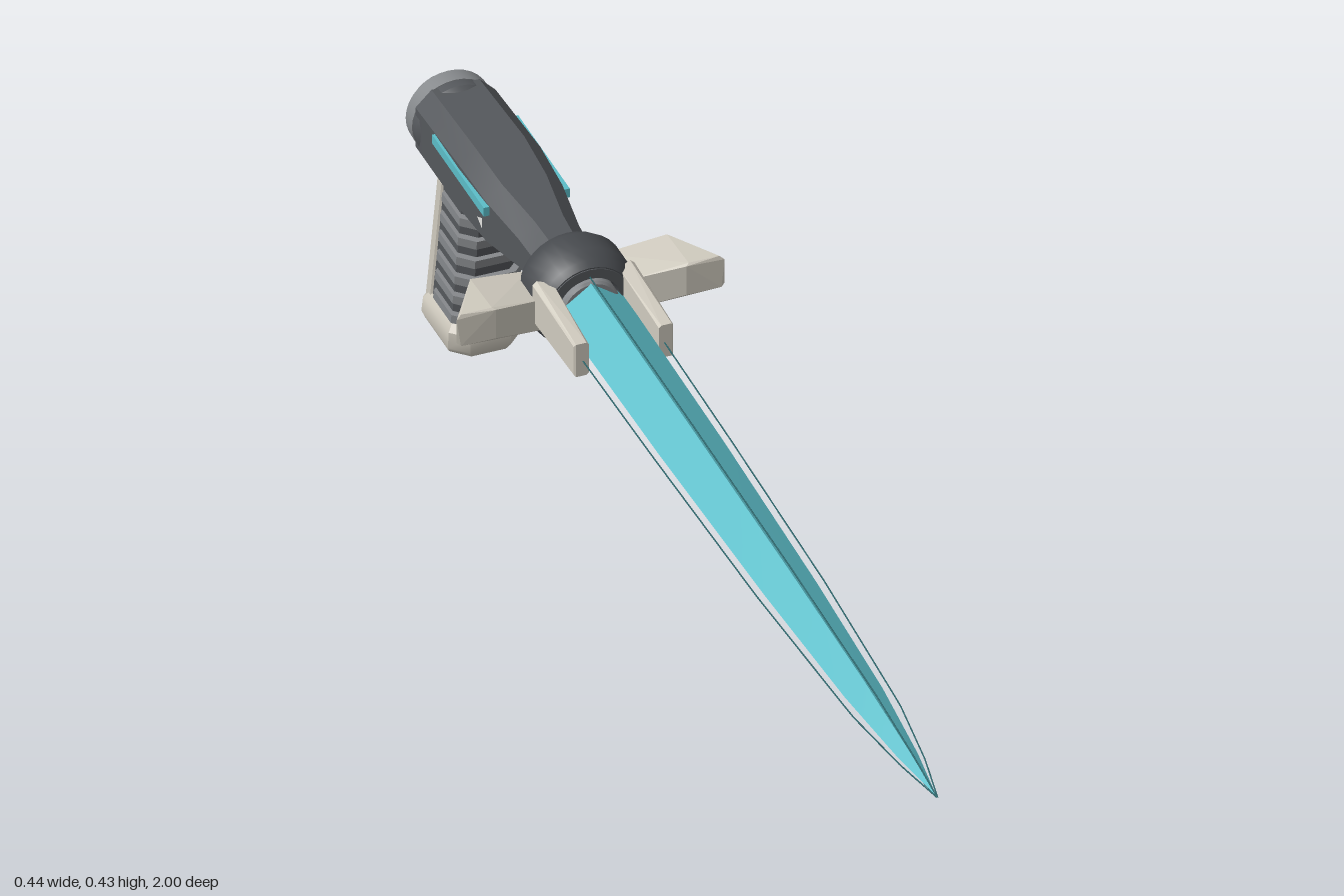
import * as THREE from 'three';
import { toCreasedNormals } from 'three/addons/utils/BufferGeometryUtils.js';
import { ConvexGeometry } from 'three/addons/geometries/ConvexGeometry.js';

const mat = (name, color, side = THREE.FrontSide) => new THREE.MeshStandardMaterial({ name, color, side });

// Joins outlines [{ z, pts: [[x, y], ...] }] (counter-clockwise, z rising) into a closed, creased solid.
function loft(sections, crease = 0.4) {
  const pos = [];
  const n = sections[0].pts.length;
  const put = (s, j) => pos.push(s.pts[j % n][0], s.pts[j % n][1], s.z);
  for (let i = 0; i < sections.length - 1; i++) {
    const a = sections[i], b = sections[i + 1];
    for (let j = 0; j < n; j++) {
      put(a, j); put(a, j + 1); put(b, j + 1);
      put(a, j); put(b, j + 1); put(b, j);
    }
  }
  const first = sections[0], last = sections[sections.length - 1];
  for (let j = 1; j < n - 1; j++) {
    put(first, 0); put(first, j + 1); put(first, j);
    put(last, 0); put(last, j); put(last, j + 1);
  }
  const g = new THREE.BufferGeometry();
  g.setAttribute('position', new THREE.Float32BufferAttribute(pos, 3));
  return toCreasedNormals(g, crease);
}

// Rectangle with chamfered corners
const octagon = (w, y0, y1, c) => [
  [w, y0 + c], [w, y1 - c], [w - c, y1], [c - w, y1],
  [-w, y1 - c], [-w, y0 + c], [c - w, y0], [w - c, y0],
];

// Solid of revolution about the weapon's long axis; points are [radius, z]
function turned(points, y) {
  const g = new THREE.LatheGeometry(points.map(p => new THREE.Vector2(...p)), 32);
  return toCreasedNormals(g.rotateX(Math.PI / 2).translate(0, y, 0), 0.5);
}

export function createModel() {
  const model = new THREE.Group();
  model.name = 'swordPistol';
  const dark = mat('darkMetal', 0x55585c);
  const ringDark = mat('collarMetal', 0x484b4f);
  const gray = mat('grayMetal', 0x86898c);
  const bone = mat('boneTrim', 0xd0cbbf);
  const teal = mat('tealBlade', 0x5cbdc8);
  const wire = mat('edgeWire', 0x2f6a70);
  const white = mat('paleMark', 0xe4e4e0, THREE.DoubleSide);
  const add = (name, geometry, material, parent = model) => {
    const m = new THREE.Mesh(geometry, material);
    m.name = name;
    parent.add(m);
    return m;
  };
  const axisY = 0.354;

  // Diamond blade tapering to a point
  const bladeRows = [[-0.43, 0.056, 0.04], [0, 0.052, 0.037], [0.4, 0.043, 0.031],
    [0.7, 0.031, 0.023], [0.88, 0.016, 0.012], [0.99, 0.001, 0.001]];
  add('blade', loft(bladeRows.map(([z, w, h]) => ({
    z, pts: [[w, axisY], [0, axisY + h], [-w, axisY], [0, axisY - h]],
  })), 0.15), teal);

  // Fine wires floating just outside the four blade edges
  const wireRows = [[-0.42, 0.068], [0, 0.063], [0.4, 0.055], [0.75, 0.039], [0.9, 0.02], [1, 0]];
  for (let k = 0; k < 4; k++) {
    const ang = k * Math.PI / 2, sy = 0.72;
    const path = new THREE.CurvePath();
    const pts = wireRows.map(([z, r]) =>
      new THREE.Vector3(Math.cos(ang) * r, axisY + Math.sin(ang) * r * sy, z));
    for (let i = 1; i < pts.length; i++) path.add(new THREE.LineCurve3(pts[i - 1], pts[i]));
    add('edgeWire', new THREE.TubeGeometry(path, 40, 0.0012, 5), wire);
  }

  // Collar with recessed face and hub
  add('collar', turned([[0, -0.515], [0.062, -0.515], [0.078, -0.505], [0.086, -0.488], [0.086, -0.445],
    [0.078, -0.425], [0.07, -0.415], [0.052, -0.415], [0.048, -0.43], [0, -0.43]], 0.348), ringDark);
  add('collarFace', turned([[0.052, -0.416], [0.068, -0.416], [0.068, -0.413], [0.052, -0.413]], 0.348), dark);
  add('hub', turned([[0, -0.44], [0.048, -0.44], [0.048, -0.412], [0.044, -0.408], [0, -0.408]], 0.348), gray);

  // Swept guard wings and forward prongs
  for (const s of [1, -1]) {
    const hull = pts => new ConvexGeometry(pts.map(([x, y, z]) => new THREE.Vector3(x * s, y, z)));
    add(s > 0 ? 'leftWing' : 'rightWing', hull([
      [0.155, 0.386, -0.408], [0.16, 0.389, -0.412], [0.21, 0.389, -0.412], [0.218, 0.382, -0.41],
      [0.218, 0.34, -0.41], [0.212, 0.334, -0.408], [0.155, 0.334, -0.408],
      [0.16, 0.385, -0.5], [0.175, 0.307, -0.475], [0.14, 0.307, -0.505],
      [0.06, 0.365, -0.515], [0.06, 0.308, -0.515], [0.065, 0.365, -0.435], [0.065, 0.31, -0.435],
    ]), bone);
    add(s > 0 ? 'leftProng' : 'rightProng', hull([
      [0.057, 0.383, -0.275], [0.061, 0.387, -0.275], [0.078, 0.387, -0.275], [0.081, 0.383, -0.277],
      [0.057, 0.332, -0.275], [0.061, 0.328, -0.275], [0.078, 0.328, -0.275], [0.081, 0.332, -0.277],
      [0.054, 0.395, -0.43], [0.076, 0.398, -0.44], [0.083, 0.392, -0.44],
      [0.054, 0.328, -0.43], [0.083, 0.328, -0.44],
    ]), bone);
  }

  // Chamfered receiver body
  const bodyRows = [[-0.96, 0.065, 0.283, 0.406], [-0.78, 0.066, 0.285, 0.416], [-0.68, 0.062, 0.288, 0.411],
    [-0.58, 0.049, 0.302, 0.404], [-0.5, 0.045, 0.308, 0.4]];
  add('body', loft(bodyRows.map(([z, w, y0, y1]) => ({ z, pts: octagon(w, y0, y1, 0.026) })), 0.2), dark);

  // Rear end cap
  add('capRing', turned([[0.05, -0.962], [0.069, -0.962], [0.07, -0.945], [0.064, -0.936], [0.05, -0.936]], 0.343), dark);
  add('endCap', turned([[0, -1], [0.061, -1], [0.069, -0.99], [0.07, -0.962], [0.05, -0.962]], 0.343), gray);

  // Glowing side strips and small triangular marks
  for (const s of [1, -1]) {
    add('sideStrip', new THREE.BoxGeometry(0.009, 0.016, 0.21).translate(s * 0.0655, 0.375, -0.775), teal);
    const tri = new THREE.Shape([[-0.01, 0.01], [0.011, 0], [-0.01, -0.01]].map(p => new THREE.Vector2(...p)));
    add('sideMark', new THREE.ShapeGeometry(tri).rotateY(Math.PI / 2), white).position.set(s * 0.0645, 0.34, -0.7);
  }

  // Trigger guard and trigger
  const guard = new THREE.Shape([[0.65, 0.292], [0.668, 0.264], [0.8, 0.262], [0.8, 0.271], [0.674, 0.273], [0.664, 0.292]]
    .map(p => new THREE.Vector2(...p)));
  add('triggerGuard', new THREE.ExtrudeGeometry(guard, { depth: 0.03, bevelEnabled: false })
    .rotateY(Math.PI / 2).translate(-0.015, 0, 0), bone);
  add('trigger', new THREE.BoxGeometry(0.014, 0.03, 0.014).translate(0, 0.282, -0.74), gray);

  // Raked grip: rows are [y, half width, half depth, depth offset]
  const centre = y => -0.855 + (y - 0.26) * 0.17;
  const upright = (rows, c) => loft(rows.map(([y, w, d, off = 0]) => {
    const m = -(centre(y) + off);
    return { z: y, pts: octagon(w, m - d, m + d, c) };
  }), 0.6).rotateX(-Math.PI / 2);
  const grip = new THREE.Group();
  grip.name = 'grip';
  model.add(grip);
  add('gripCore', upright([[0.04, 0.05, 0.062], [0.31, 0.05, 0.062]], 0.022), dark, grip);
  for (let i = 0; i < 6; i++) {
    const y = 0.068 + i * 0.04;
    add('gripRing', upright([[y - 0.008, 0.056, 0.058, 0.014], [y + 0.008, 0.056, 0.058, 0.014]], 0.022), gray, grip);
  }
  add('gripSpine', upright([[0.045, 0.053, 0.026, -0.048], [0.285, 0.053, 0.026, -0.042]], 0.018), bone, grip);
  add('gripBase', upright([[0, 0.054, 0.074, 0], [0.012, 0.059, 0.08, 0], [0.042, 0.059, 0.078, 0],
    [0.056, 0.051, 0.07, 0]], 0.026), bone, grip);

  return model;
}
